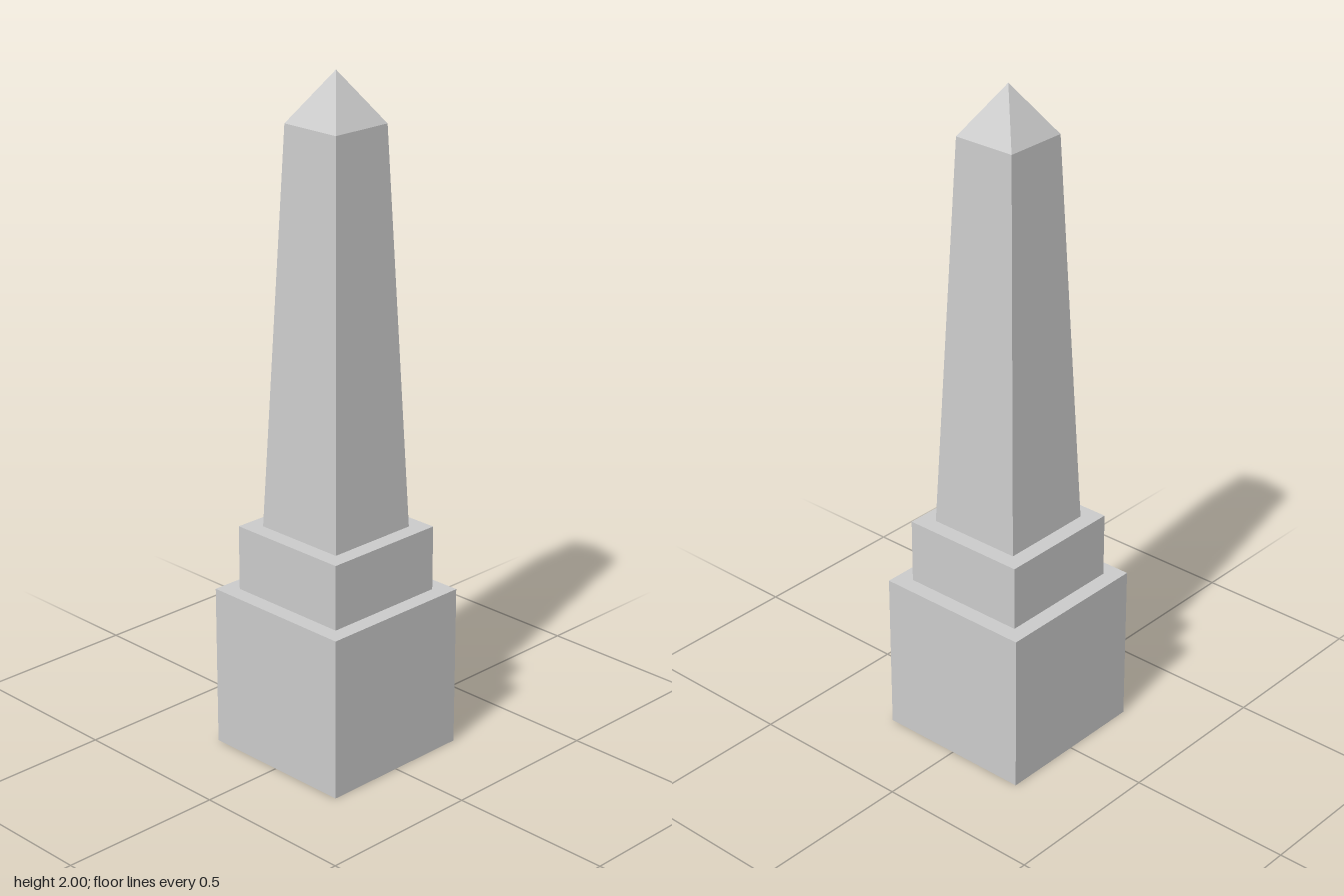
import * as THREE from 'three';

const UNIT = 2 / 4.1; // overall height is 4.1 plinth widths

export function createModel() {
  const group = new THREE.Group();
  const material = new THREE.MeshStandardMaterial({ color: 0xcccccc, flatShading: true });
  let y = 0;

  // Stacks a square block that may taper from bottom to top width
  function addTier(name, bottom, top, height) {
    const h = height * UNIT;
    const geometry = new THREE.CylinderGeometry(
      top * UNIT * Math.SQRT1_2, bottom * UNIT * Math.SQRT1_2, h, 4);
    geometry.rotateY(Math.PI / 4);
    geometry.translate(0, y + h / 2, 0);
    const mesh = new THREE.Mesh(geometry, material);
    mesh.name = name;
    group.add(mesh);
    y += h;
  }

  addTier('plinth', 1, 1, 1);
  addTier('step', 0.8, 0.8, 0.4);
  addTier('shaft', 0.6, 0.4, 2.4);
  addTier('pyramidCap', 0.4, 0, 0.3);

  group.name = 'obelisk';
  return group;
}
